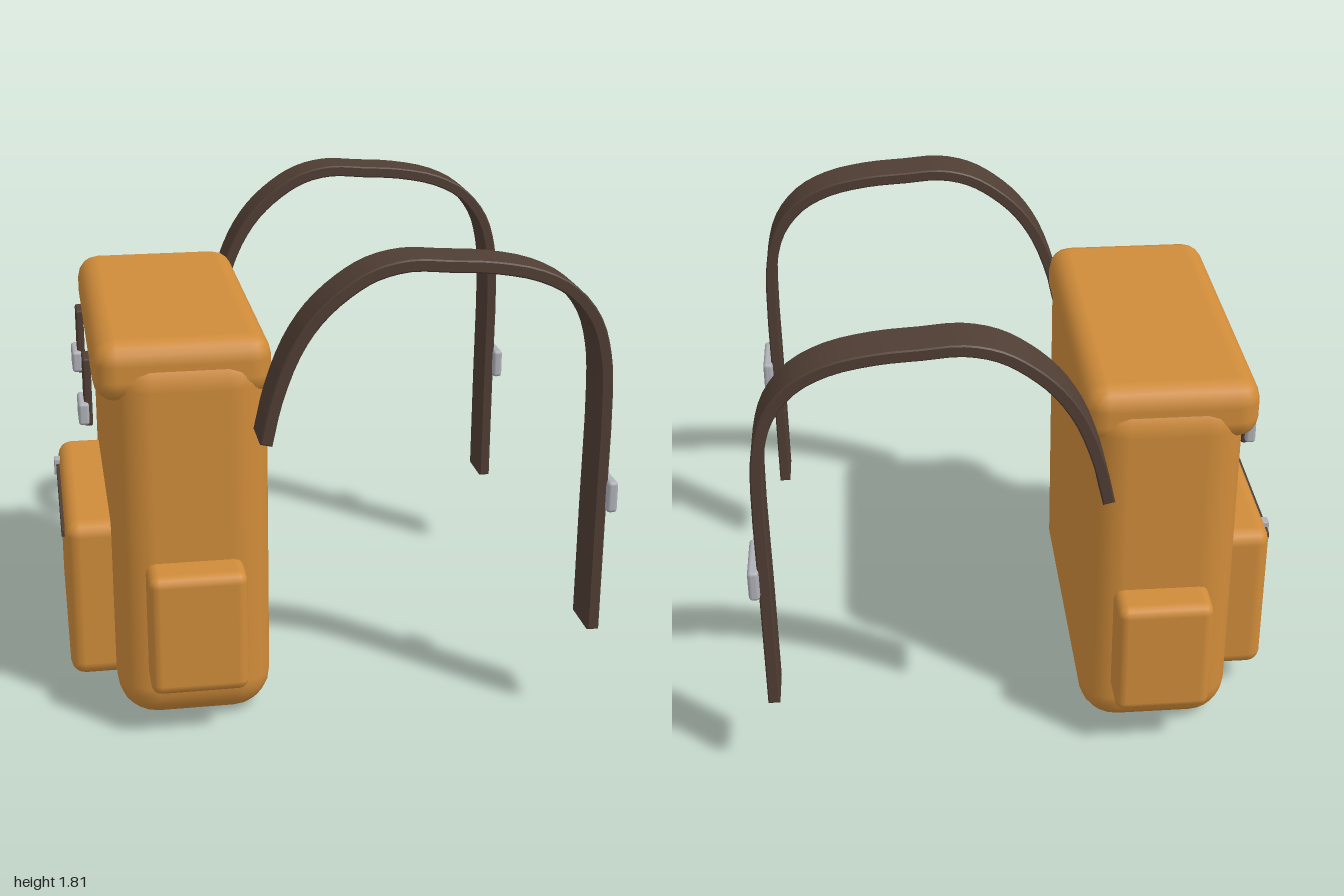
import * as THREE from 'three';
import { toCreasedNormals } from 'three/addons/utils/BufferGeometryUtils.js';
import { RoundedBoxGeometry } from 'three/addons/geometries/RoundedBoxGeometry.js';

const material = (name, color) => {
  const m = new THREE.MeshStandardMaterial({ color });
  m.name = name;
  return m;
};

export function createModel() {
  const canvas = material('orange canvas', 0xd08c3a);
  const leather = material('dark brown webbing', 0x503e34);
  const metal = material('grey metal', 0xb0b1b8);
  const bag = new THREE.Group();
  bag.name = 'backpack';

  // Rounded block given by its extents on each axis
  const block = (name, mat, [x0, x1], [y0, y1], [z0, z1], radius, segments = 2) => {
    const geo = new RoundedBoxGeometry(x1 - x0, y1 - y0, z1 - z0, segments, radius);
    const mesh = new THREE.Mesh(geo, mat);
    mesh.name = name;
    mesh.position.set((x0 + x1) / 2, (y0 + y1) / 2, (z0 + z1) / 2);
    bag.add(mesh);
    return mesh;
  };
  const span = (centre, width) => [centre - width / 2, centre + width / 2];

  // Main bag, lid and front pocket; the bag opens towards -x
  block('body', canvas, [-0.81, -0.23], [0, 1.46], [-0.69, 0.69], 0.15, 3);
  block('lid', canvas, [-0.86, -0.22], [1.26, 1.49], [-0.67, 0.67], 0.085);
  block('frontPocket', canvas, [-0.98, -0.72], [0.11, 0.74], [-0.475, 0.475], 0.055);

  // Zip across the front pocket with its pull
  block('zip', leather, [-0.992, -0.97], [0.66, 0.69], [-0.39, 0.39], 0.004, 1);
  block('zipPull', metal, [-1, -0.972], [0.64, 0.71], span(-0.325, 0.045), 0.005, 1);

  // Shoulder strap: a flat ribbon following an arch
  const path = new THREE.CatmullRomCurve3([
    [-0.28, 1.17], [-0.245, 1.32], [-0.18, 1.49], [-0.1, 1.61], [0, 1.7],
    [0.1, 1.758], [0.22, 1.785], [0.36, 1.777], [0.52, 1.765], [0.68, 1.73],
    [0.8, 1.665], [0.885, 1.56], [0.925, 1.43], [0.938, 1.28], [0.938, 0.8], [0.938, 0.37],
  ].map(([x, y]) => new THREE.Vector3(x, y, 0)));
  const outer = [], inner = [];
  const steps = 45, half = 0.017, bevel = 0.005;
  for (let i = 0; i <= steps; i++) {
    const p = path.getPoint(i / steps);
    const t = path.getTangent(i / steps);
    outer.push(new THREE.Vector2(p.x - t.y * half, p.y + t.x * half));
    inner.unshift(new THREE.Vector2(p.x + t.y * half, p.y - t.x * half));
  }
  const strapWidth = 0.18;
  const strapGeo = toCreasedNormals(new THREE.ExtrudeGeometry(new THREE.Shape([...outer, ...inner]), {
    depth: strapWidth - 2 * bevel, bevelEnabled: true, bevelSize: bevel,
    bevelThickness: bevel, bevelSegments: 1,
  }), 0.6);
  strapGeo.translate(0, 0, bevel - strapWidth / 2);

  // Paired parts on both ends of the bag
  for (const s of [-1, 1]) {
    block('sidePocket', canvas, [-0.70, -0.34], [0.19, 0.66], span(s * 0.715, 0.23), 0.04);
    block('lidStrap', leather, [-0.885, -0.855], [1.09, 1.35], span(s * 0.318, 0.11), 0.008, 1);
    block('lidBuckle', metal, [-0.907, -0.868], [1.10, 1.185], span(s * 0.318, 0.15), 0.012);
    const strap = new THREE.Mesh(strapGeo, leather);
    strap.name = 'shoulderStrap';
    strap.position.z = s * 0.793;
    bag.add(strap);
    block('strapBuckle', metal, [0.955, 0.995], [0.84, 0.96], span(s * 0.793, 0.23), 0.014);
  }
  return bag;
}
